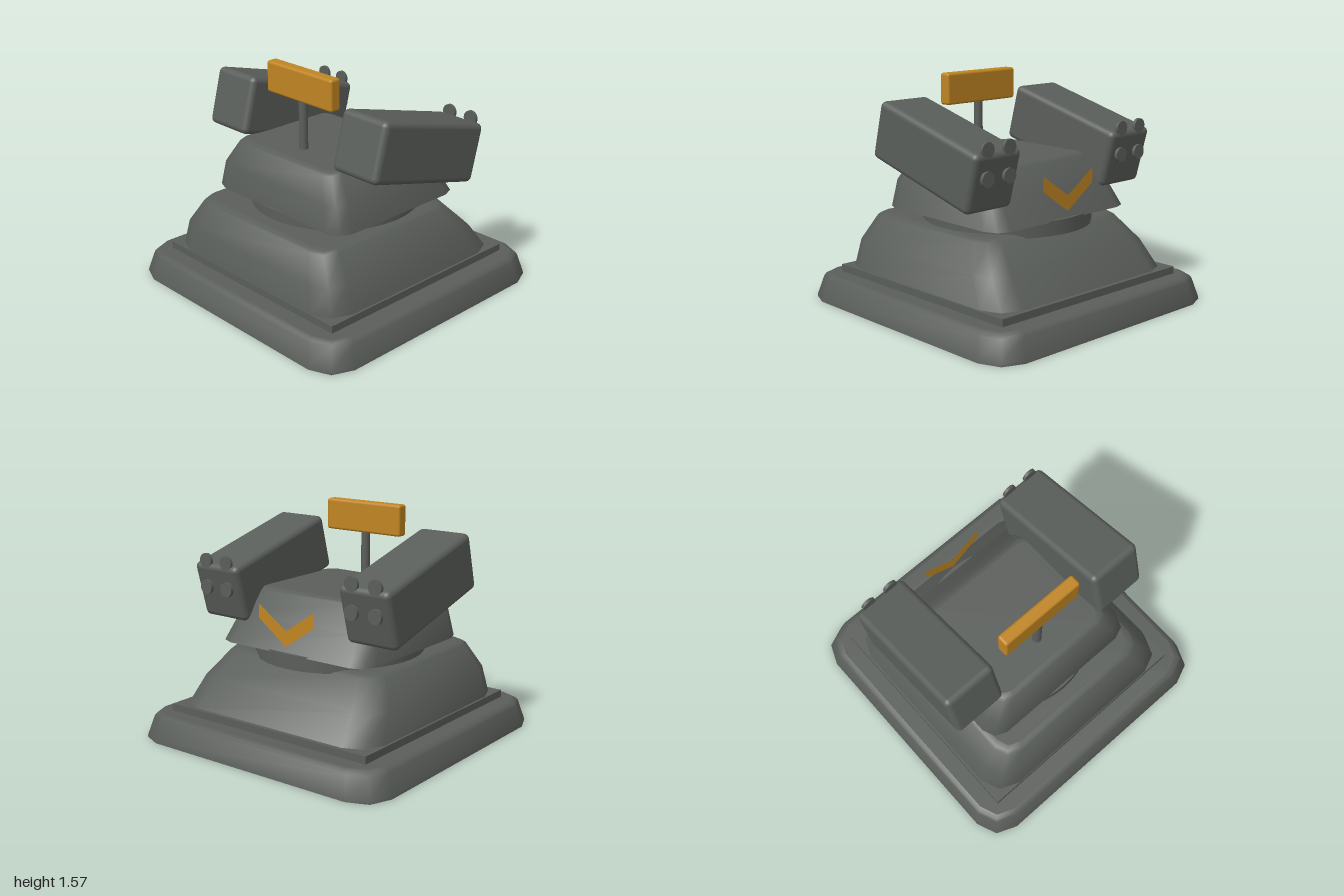
import * as THREE from 'three';
import { mergeGeometries, toCreasedNormals } from 'three/addons/utils/BufferGeometryUtils.js';
import { RoundedBoxGeometry } from 'three/addons/geometries/RoundedBoxGeometry.js';

// Rectangle outline with two-facet corners: half width hx, front zf, back zb, corner c
function outline([y, hx, zf, zb, c]) {
  const pts = [];
  const corners = [[hx - c, zf - c], [hx - c, zb + c], [c - hx, zb + c], [c - hx, zf - c]];
  corners.forEach(([x, z], k) => {
    for (let i = 0; i <= 2; i++) {
      const a = k * Math.PI / 2 + i * Math.PI / 4;
      pts.push(new THREE.Vector3(x + c * Math.sin(a), y, z + c * Math.cos(a)));
    }
  });
  return pts;
}

// Closed loft through the outlines, listed from bottom to top
function loft(sections) {
  const rings = sections.map(outline);
  const n = rings[0].length;
  const sides = [], caps = [];
  for (let r = 0; r < rings.length - 1; r++) {
    const lo = rings[r], hi = rings[r + 1];
    for (let i = 0; i < n; i++) {
      const j = (i + 1) % n;
      // outlines run from front to +x, i.e. counter-clockwise seen from above
      sides.push(lo[i], lo[j], hi[j], lo[i], hi[j], hi[i]);
    }
  }
  const bottom = rings[0], top = rings[rings.length - 1];
  for (let i = 1; i < n - 1; i++) {
    caps.push(top[0], top[i], top[i + 1], bottom[0], bottom[i + 1], bottom[i]);
  }
  const make = (pts) => new THREE.BufferGeometry().setFromPoints(pts);
  const capGeo = make(caps);
  capGeo.computeVertexNormals();
  return mergeGeometries([toCreasedNormals(make(sides), 0.85), capGeo]);
}

export function createModel() {
  const model = new THREE.Group();
  const grey = new THREE.MeshStandardMaterial({ color: 0x5a5e5a });
  grey.name = 'dark grey';
  const amber = new THREE.MeshStandardMaterial({ color: 0xc08522 });
  amber.name = 'amber';
  const amberPlate = amber;
  amberPlate.side = THREE.DoubleSide;

  const add = (name, geo, mat, x = 0, y = 0, z = 0, parent = model) => {
    const mesh = new THREE.Mesh(geo, mat);
    mesh.name = name;
    mesh.position.set(x, y, z);
    parent.add(mesh);
    return mesh;
  };

  // Foot slab and the thin square plate on it
  add('base', loft([
    [0, 1, 1, -1, 0.2],
    [0.02, 0.997, 0.997, -0.997, 0.2],
    [0.15, 0.96, 0.96, -0.96, 0.19],
    [0.17, 0.945, 0.945, -0.945, 0.18],
    [0.18, 0.92, 0.92, -0.92, 0.17],
  ]), grey);
  add('basePlate', new THREE.BoxGeometry(1.63, 0.06, 1.63), grey, 0, 0.2, 0);

  // Lower body, with a longer slope at the back
  add('lowerBody', loft([
    [0.23, 0.8, 0.81, -0.785, 0.19],
    [0.41, 0.75, 0.785, -0.65, 0.17],
    [0.58, 0.635, 0.71, -0.485, 0.13],
    [0.595, 0.615, 0.69, -0.455, 0.12],
    [0.6, 0.58, 0.66, -0.42, 0.11],
  ]), grey);

  // Turntable between the two bodies
  add('turntable', new THREE.CylinderGeometry(0.58, 0.58, 0.1, 48), grey, 0, 0.62, 0);

  // Upper body
  add('upperBody', loft([
    [0.66, 0.62, 0.565, -0.56, 0.12],
    [0.84, 0.575, 0.55, -0.445, 0.11],
    [1.0, 0.475, 0.49, -0.34, 0.09],
    [1.015, 0.455, 0.47, -0.32, 0.08],
    [1.02, 0.43, 0.445, -0.3, 0.07],
  ]), grey);

  // Tilted side pods, each with four upright discs at the back
  const disc = new THREE.CylinderGeometry(0.05, 0.05, 0.022, 24).rotateX(Math.PI / 2);
  for (const side of [1, -1]) {
    const pod = new THREE.Group();
    pod.name = side > 0 ? 'leftPod' : 'rightPod';
    model.add(pod);
    const box = add('podBox', new RoundedBoxGeometry(0.385, 0.4, 0.965, 3, 0.04), grey,
      side * 0.612, 1.107, -0.068, pod);
    box.rotation.x = -0.26;
    for (const x of [0.52, 0.7]) {
      for (const y of [1.2, 1.02]) add('disc', disc, grey, side * x, y, -0.565, pod);
    }
  }

  // Sign on a post
  add('signPost', new THREE.CylinderGeometry(0.03, 0.03, 0.38, 20), grey, 0, 1.18, 0.29);
  add('sign', new RoundedBoxGeometry(0.615, 0.215, 0.085, 2, 0.018), amber, 0, 1.458, 0.292);

  // Flat chevron standing behind the upper body
  const chevron = new THREE.Shape([
    [-0.23, 0.975], [-0.23, 0.875], [0, 0.715], [0.23, 0.875], [0.23, 0.975], [0, 0.82],
  ].map(([x, y]) => new THREE.Vector2(x, y)));
  add('chevron', new THREE.ShapeGeometry(chevron), amberPlate, 0, 0, -0.572);

  return model;
}
